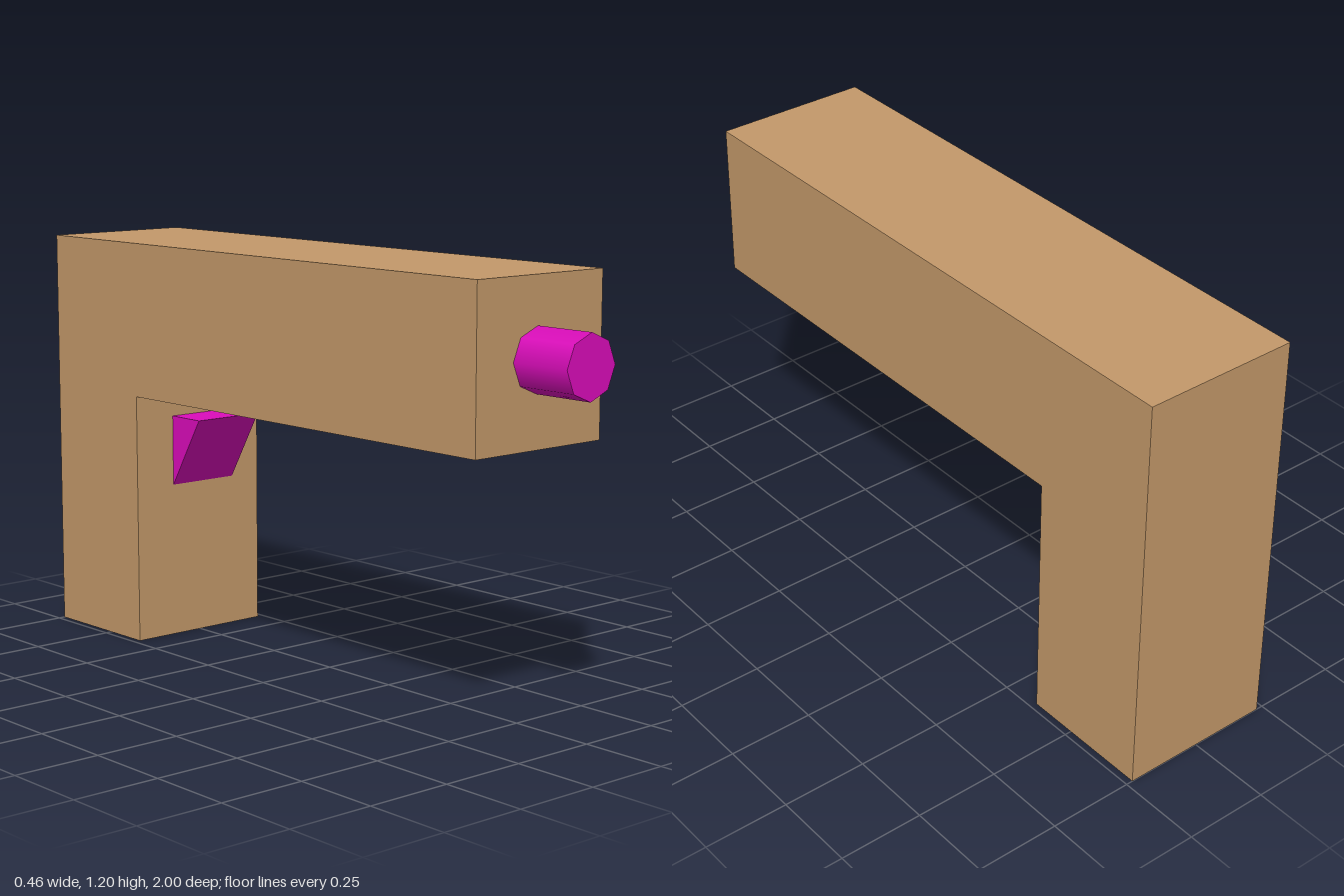
import * as THREE from 'three';

// Extrudes a side profile of [z, y] points across x, from xMin to xMax
function sideExtrusion(points, xMin, xMax) {
  const shape = new THREE.Shape(points.map(([z, y]) => new THREE.Vector2(z, y)));
  const geometry = new THREE.ExtrudeGeometry(shape, { depth: xMax - xMin, bevelEnabled: false });
  return geometry.rotateY(-Math.PI / 2).translate(xMax, 0, 0);
}

export function createModel() {
  const model = new THREE.Group();
  const wood = new THREE.MeshStandardMaterial({ color: 0xc4996a });
  wood.name = 'wood brown';
  const magenta = new THREE.MeshStandardMaterial({ color: 0xdb0dbb });
  magenta.name = 'magenta';

  const add = (name, geometry, material) => {
    const mesh = new THREE.Mesh(geometry, material);
    mesh.name = name;
    model.add(mesh);
  };

  // L-shaped body: long barrel with the grip at the back
  add('body', sideExtrusion([
    [-1, 0], [-0.605, 0], [-0.605, 0.743], [0.815, 0.743], [0.815, 1.197], [-1, 1.197],
  ], -0.23, 0.23), wood);

  // Wedge trigger on the front of the grip
  add('trigger', sideExtrusion([
    [-0.605, 0.462], [-0.478, 0.672], [-0.605, 0.672],
  ], -0.096, 0.13), magenta);

  // Eight-sided muzzle with smooth sides
  const muzzle = new THREE.CylinderGeometry(0.0885, 0.0885, 0.185, 8);
  muzzle.rotateX(Math.PI / 2).translate(-0.01, 0.977, 0.9075);
  add('muzzle', muzzle, magenta);

  return model;
}
